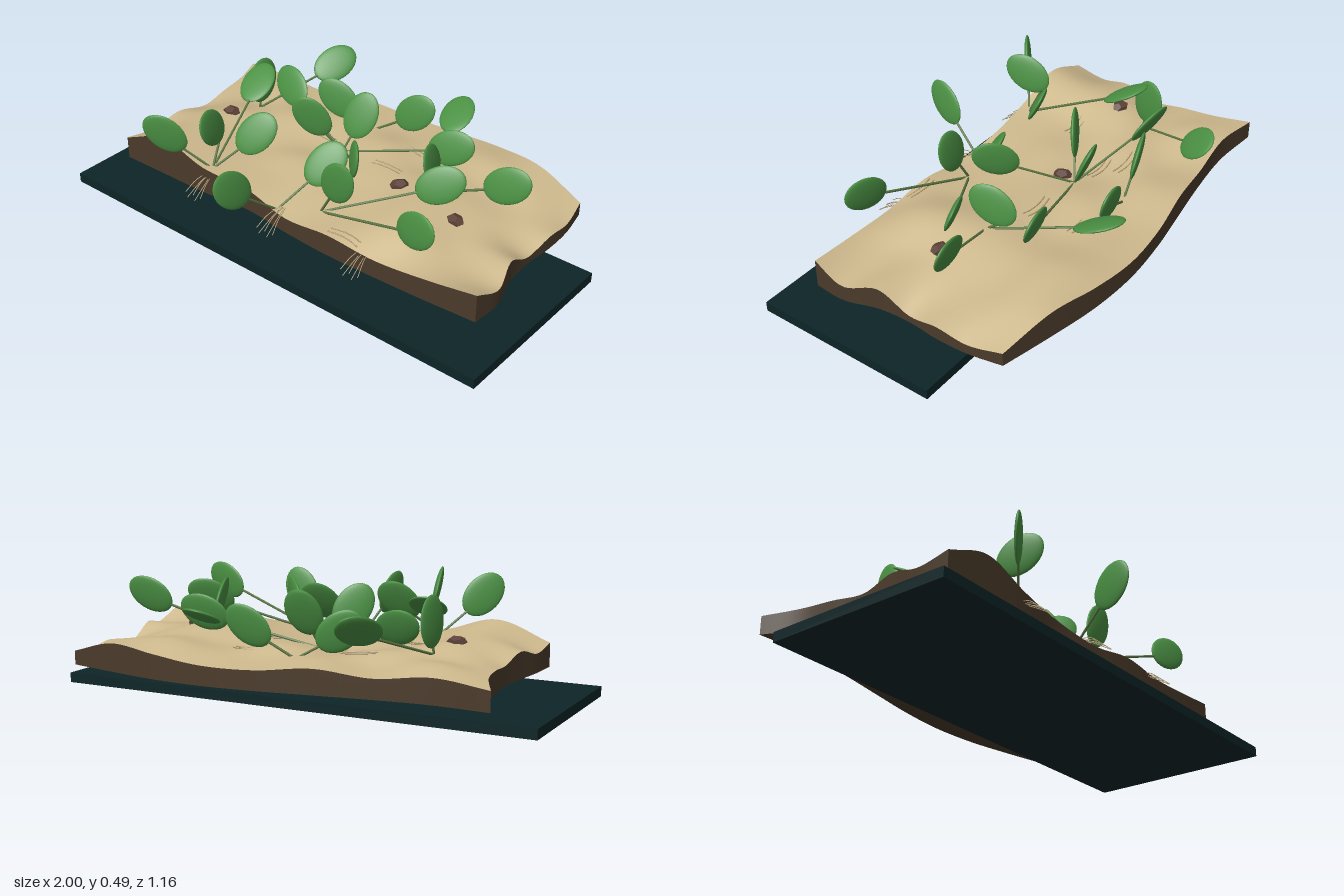
import * as THREE from 'three';

const mat = (name, color) => {
  const m = new THREE.MeshStandardMaterial({ color });
  m.name = name;
  return m;
};

// Smooth interpolation through evenly spaced values, t in 0..1
function spline(a, t) {
  const n = a.length - 1;
  const f = THREE.MathUtils.clamp(t, 0, 1) * n;
  const i = Math.min(Math.floor(f), n - 1);
  const k = f - i;
  const p1 = a[i], p2 = a[i + 1];
  const p0 = i > 0 ? a[i - 1] : 2 * p1 - p2;
  const p3 = i + 2 <= n ? a[i + 2] : 2 * p2 - p1;
  return p1 + 0.5 * k * (p2 - p0 + k * (2 * p0 - 5 * p1 + 4 * p2 - p3 + k * (3 * (p1 - p2) + p3 - p0)));
}

// Outline of the soil bed, back to front and left to right
const edgeNegX = [-0.9, -0.84, -0.815, -0.8, -0.81, -0.825, -0.83];
const edgePosX = [0.82, 0.845, 0.85, 0.84, 0.85, 0.89, 0.885];
const edgeBack = [-0.49, -0.478, -0.5, -0.535, -0.57, -0.588, -0.575, -0.535, -0.487];
const edgeFront = [0.34, 0.335, 0.33, 0.31, 0.33, 0.34, 0.335, 0.325, 0.31];

// Dune heights, rows back to front
const dunes = [
  [0.20, 0.22, 0.20, 0.22, 0.20, 0.20, 0.22, 0.235, 0.18],
  [0.21, 0.24, 0.21, 0.23, 0.21, 0.22, 0.25, 0.23, 0.165],
  [0.21, 0.23, 0.24, 0.22, 0.24, 0.22, 0.24, 0.21, 0.18],
  [0.20, 0.26, 0.23, 0.21, 0.23, 0.24, 0.26, 0.22, 0.155],
  [0.23, 0.27, 0.22, 0.23, 0.22, 0.23, 0.27, 0.22, 0.215],
  [0.20, 0.28, 0.23, 0.22, 0.21, 0.22, 0.26, 0.21, 0.19],
  [0.22, 0.295, 0.24, 0.22, 0.19, 0.215, 0.20, 0.215, 0.24],
];
const duneHeight = (u, v) => spline(dunes.map((row) => spline(row, u)), v);
const groundY = (x, z) => duneHeight((x + 0.84) / 1.69, (z + 0.53) / 0.86);
const BED_BOTTOM = 0.125;

function soilGeometry() {
  const g = new THREE.BoxGeometry(1, 1, 1, 72, 4, 40);
  const p = g.attributes.position;
  for (let i = 0; i < p.count; i++) {
    const u = p.getX(i) + 0.5, v = p.getZ(i) + 0.5, h = p.getY(i) + 0.5;
    p.setXYZ(i,
      THREE.MathUtils.lerp(spline(edgeNegX, v), spline(edgePosX, v), u),
      THREE.MathUtils.lerp(BED_BOTTOM, duneHeight(u, v), h),
      THREE.MathUtils.lerp(spline(edgeBack, u), spline(edgeFront, u), v));
  }
  g.computeVertexNormals();
  return g;
}

// Each plant: root x, z and its leaves as [x, y, z, blade facing, long axis]
const sideways = [0.8, 0.1, -0.45];
const plants = [
  { root: [-0.39, 0.29], leaves: [[-0.51, 0.40, -0.11], [-0.27, 0.37, 0.16], [-0.38, 0.415, 0.29, sideways, [0.2, 0.4, 0.85]], [-0.53, 0.38, 0.40]] },
  { root: [-0.56, -0.17], leaves: [[-0.42, 0.36, -0.50], [-0.56, 0.36, -0.19, [1, 0, 0.2]]] },
  { root: [-0.09, -0.15], leaves: [[-0.055, 0.36, -0.225], [0.35, 0.34, -0.28], [-0.19, 0.37, -0.08], [0.14, 0.37, 0.06, [-0.7, 0.1, 0.7]], [-0.455, 0.34, -0.26]] },
  { root: [0.385, -0.08], leaves: [[0.235, 0.36, -0.48], [0.38, 0.37, -0.11, sideways, [0.2, 0.45, 0.85]], [0.69, 0.37, -0.155]] },
  { root: [0.11, 0.22], leaves: [[0.49, 0.36, -0.015], [0.2, 0.37, 0.23], [0.61, 0.38, 0.30]] },
  { root: [-0.04, 0.30], leaves: [[0.06, 0.35, 0.13], [-0.085, 0.35, 0.49, [1, 0.1, 0.1]]] },
  { root: [-0.1, -0.37], leaves: [[-0.26, 0.32, -0.33], [0.07, 0.33, -0.42]] },
];

export function createModel() {
  const model = new THREE.Group();
  const plateMat = mat('darkTeal', 0x0d2527);
  const sandMat = mat('sand', 0xcfba8e);
  const earthMat = mat('earth', 0x4b3b2b);
  const leafMat = mat('leafGreen', 0x4b9144);
  const stemMat = mat('stemGreen', 0x5d7a45);
  const rootMat = mat('paleRoot', 0xb5a178);
  const stoneMat = mat('stoneBrown', 0x5c4238);

  const add = (parent, name, geometry, material) => {
    const mesh = new THREE.Mesh(geometry, material);
    mesh.name = name;
    parent.add(mesh);
    return mesh;
  };
  const group = (name) => {
    const g = new THREE.Group();
    g.name = name;
    model.add(g);
    return g;
  };
  const tube = (parent, name, points, radius, material) =>
    add(parent, name, new THREE.TubeGeometry(new THREE.CatmullRomCurve3(points), 12, radius, 6), material);

  // Base plate floating below the bed
  add(model, 'basePlate', new THREE.BoxGeometry(2, 0.04, 0.77), plateMat).position.set(0, 0.02, 0.088);

  // Soil bed: sandy top, earth walls and underside
  add(model, 'soilBed', soilGeometry(), [earthMat, earthMat, sandMat, earthMat, earthMat, earthMat]);

  // Plants: stems fanning out of one root, each ending in a flat oval leaf
  const leafGeo = new THREE.SphereGeometry(1, 24, 14);
  leafGeo.scale(0.1, 0.071, 0.014);
  for (const { root, leaves } of plants) {
    const plant = group('plant');
    const base = new THREE.Vector3(root[0], groundY(...root) - 0.01, root[1]);
    for (const [x, y, z, facing = [0.22, 0.3, 1], lean] of leaves) {
      const centre = new THREE.Vector3(x, y, z);
      const axis = lean ? new THREE.Vector3(...lean) : centre.clone().sub(base).normalize();
      axis.y += 0.1;
      axis.normalize();
      const normal = new THREE.Vector3(...facing);
      normal.addScaledVector(axis, -normal.dot(axis)).normalize();
      const across = normal.clone().cross(axis);
      const leaf = add(plant, 'leaf', leafGeo, leafMat);
      leaf.quaternion.setFromRotationMatrix(new THREE.Matrix4().makeBasis(axis, across, normal));
      leaf.position.copy(centre);
      const tip = centre.clone().addScaledVector(axis, -0.085);
      const mid = base.clone().lerp(tip, 0.5);
      tube(plant, 'stem', [base, mid, tip], 0.005, stemMat);
    }
  }

  // Fine roots poking out of the front wall
  const roots = group('roots');
  for (const x of [-0.39, -0.01, 0.4]) {
    for (let i = -2; i <= 2; i++) {
      const drop = 0.012 * (Math.abs(i) % 2);
      tube(roots, 'frontRoot', [
        new THREE.Vector3(x + i * 0.006, 0.21, 0.3),
        new THREE.Vector3(x + i * 0.014, 0.19 - drop, 0.36),
        new THREE.Vector3(x + i * 0.02, 0.155 - drop, 0.405 + drop),
      ], 0.0016, rootMat);
    }
  }
  // Runners lying on the sand
  for (const [x, z] of [[-0.3, -0.27], [-0.22, -0.2], [0.12, -0.34], [0.15, -0.16], [0.3, 0.29], [-0.42, 0.05]]) {
    for (let i = 0; i < 2; i++) {
      const points = [-0.07, -0.035, 0, 0.035, 0.07].map((d) => {
        const px = x + d, pz = z + 0.022 * i + 2 * d * d;
        return new THREE.Vector3(px, groundY(px, pz) + 0.004, pz);
      });
      tube(roots, 'surfaceRoot', points, 0.0025, rootMat);
    }
  }

  // Stones half sunk in the sand
  const stoneGeo = new THREE.DodecahedronGeometry(0.036, 0);
  [[-0.595, -0.035], [-0.1, -0.085], [0.27, -0.06], [0.565, -0.01]].forEach(([x, z], i) => {
    const stone = add(model, 'stone', stoneGeo, stoneMat);
    stone.position.set(x, groundY(x, z), z);
    stone.rotation.y = i * 2;
    stone.scale.set(1.1, 0.65, 0.9);
  });

  return model;
}
